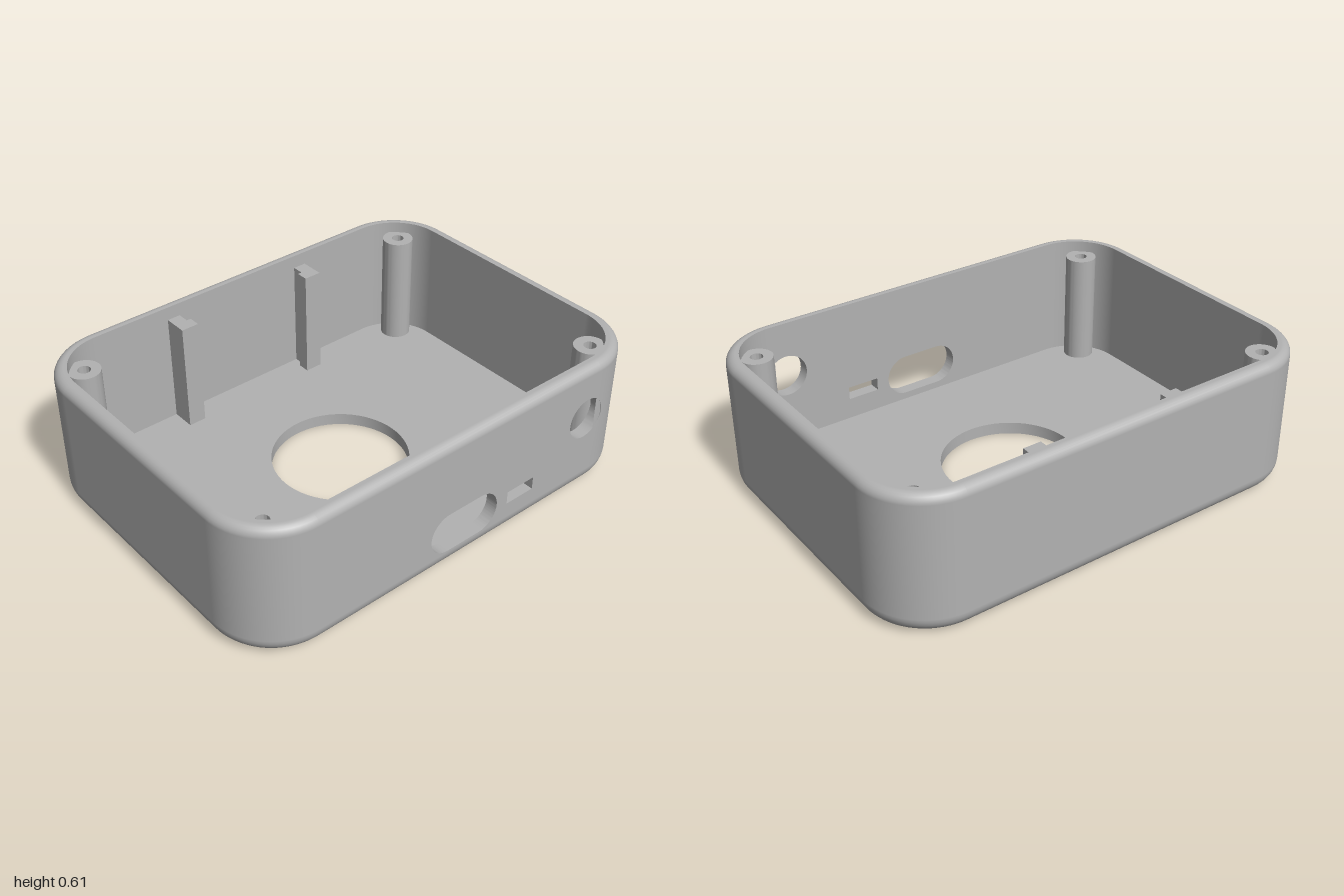
import * as THREE from 'three';
import { toCreasedNormals } from 'three/addons/utils/BufferGeometryUtils.js';

const HX = 1, HZ = 0.75, H = 0.61;         // half width, half depth, height
const R = 0.28, WALL = 0.055, FLOOR = 0.055;
const CX = HX - R, CZ = HZ - R;            // corner centres
const F0 = 0.08, F1 = 0.04;                // bottom and top edge fillets
const SEG = 18;

// Sweeps a profile of [inset, y, normalAngle] around the rounded rectangle.
// The flat front between the two fillets is left open for the front panel.
function sweep(profile) {
  const pos = [], nor = [], idx = [], n = 4 * (SEG + 1);
  for (const [inset, y, a] of profile) {
    for (let c = 0; c < 4; c++) {
      const sx = c === 0 || c === 3 ? 1 : -1, sz = c < 2 ? 1 : -1;
      for (let i = 0; i <= SEG; i++) {
        const t = (c + i / SEG) * Math.PI / 2, r = R - inset;
        pos.push(sx * CX + r * Math.cos(t), y, sz * CZ + r * Math.sin(t));
        nor.push(Math.cos(a) * Math.cos(t), Math.sin(a), Math.cos(a) * Math.sin(t));
      }
    }
  }
  for (let k = 0; k + 1 < profile.length; k++) {
    const ys = [profile[k][1], profile[k + 1][1]];
    const panelBand = Math.abs(Math.min(...ys) - F0) < 1e-6 && Math.abs(Math.max(...ys) - (H - F1)) < 1e-6;
    for (let i = 0; i < n; i++) {
      if (panelBand && i === SEG) continue;
      const a = k * n + i, b = k * n + (i + 1) % n;
      idx.push(a, a + n, b, b, a + n, b + n);
    }
  }
  const g = new THREE.BufferGeometry();
  g.setAttribute('position', new THREE.Float32BufferAttribute(pos, 3));
  g.setAttribute('normal', new THREE.Float32BufferAttribute(nor, 3));
  g.setIndex(idx);
  return g;
}

function slab(shape, depth) {
  const g = new THREE.ExtrudeGeometry(shape, { depth, bevelEnabled: false, curveSegments: 32 });
  return toCreasedNormals(g, 0.6);
}

const circle = (x, y, r) => new THREE.Path().absarc(x, y, r, 0, Math.PI * 2, true);
const polygon = (pts) => new THREE.Shape(pts.map(([x, y]) => new THREE.Vector2(x, y)));

export function createModel() {
  const group = new THREE.Group();
  const grey = new THREE.MeshStandardMaterial({ color: 0xb2b2b2 });
  grey.name = 'grey plastic';
  const add = (name, geometry) => {
    const m = new THREE.Mesh(geometry, grey);
    m.name = name;
    group.add(m);
    return m;
  };

  // Outer skin with rounded bottom and top edges
  const outer = [];
  for (let i = 0; i <= 8; i++) {
    const a = -Math.PI / 2 * (1 - i / 8);
    outer.push([F0 * (1 - Math.cos(a)), F0 * (1 + Math.sin(a)), a]);
  }
  for (let i = 0; i <= 6; i++) {
    const a = Math.PI / 2 * i / 6;
    outer.push([F1 * (1 - Math.cos(a)), H - F1 * (1 - Math.sin(a)), a]);
  }
  outer.push([WALL, H, Math.PI / 2]);
  add('outerShell', sweep(outer));

  // Inner skin and the floor border
  add('innerWall', sweep([H, H - F1, F0, FLOOR].map((y) => [WALL, y, Math.PI])));
  add('floorBorder', sweep([[WALL, FLOOR, Math.PI / 2], [F0, FLOOR, Math.PI / 2]]));

  // Floor with round opening
  const r = R - F0, floor = new THREE.Shape();
  floor.absarc(CX, CZ, r, 0, Math.PI / 2);
  floor.absarc(-CX, CZ, r, Math.PI / 2, Math.PI);
  floor.absarc(-CX, -CZ, r, Math.PI, Math.PI * 1.5);
  floor.absarc(CX, -CZ, r, Math.PI * 1.5, Math.PI * 2);
  floor.holes.push(circle(0, 0, 0.295));
  add('floor', slab(floor, FLOOR).rotateX(-Math.PI / 2));

  // Front panel with slot, small rectangular port and round port
  const front = polygon([[-CX, F0], [CX, F0], [CX, H - F1], [-CX, H - F1]]);
  const slot = new THREE.Path();
  slot.absarc(0.08, 0.178, 0.092, Math.PI / 2, -Math.PI / 2, true);
  slot.absarc(-0.086, 0.178, 0.092, -Math.PI / 2, -Math.PI * 1.5, true);
  slot.closePath();
  const port = new THREE.Path(polygon([[0.23, 0.15], [0.23, 0.208], [0.375, 0.208], [0.375, 0.15]]).getPoints());
  front.holes.push(slot, port, circle(0.663, 0.364, 0.092));
  add('frontPanel', slab(front, WALL)).position.z = HZ - WALL;

  // Corner screw posts
  for (const x of [-0.84, 0.84]) for (const z of [-0.588, 0.588]) {
    const ring = new THREE.Shape().absarc(0, 0, 0.069, 0, Math.PI * 2);
    ring.holes.push(circle(0, 0, 0.027));
    add('screwPost', slab(ring, 0.56 - FLOOR).rotateX(-Math.PI / 2)).position.set(x, FLOOR, z);
  }

  // Pair of notched board guides on the back wall
  for (const s of [-1, 1]) {
    const guide = polygon([[0.37, 0.7], [0.31, 0.7], [0.31, 0.642], [0.29, 0.642], [0.29, 0.588], [0.37, 0.588]]
      .map(([x, y]) => [s * x, y]));
    add('boardGuide', slab(guide, 0.55 - FLOOR).rotateX(-Math.PI / 2)).position.y = FLOOR;
  }
  return group;
}
